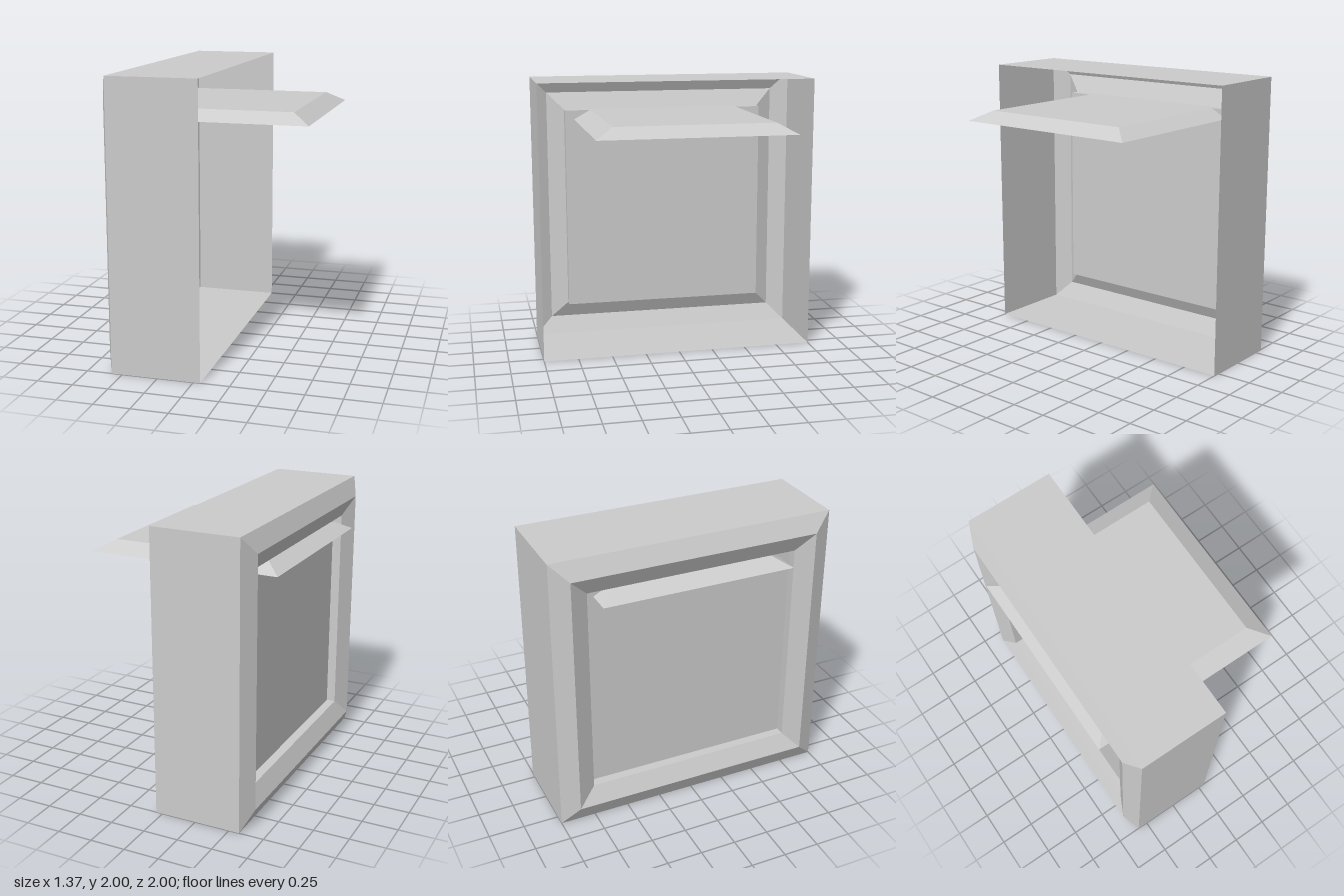
import * as THREE from 'three';

const material = new THREE.MeshStandardMaterial({
  color: 0xcccccc, flatShading: true, side: THREE.DoubleSide,
});

function addMesh(group, name, geometry, x, y) {
  const mesh = new THREE.Mesh(geometry, material);
  mesh.name = name;
  mesh.position.set(x, y, 0);
  group.add(mesh);
}

// Square ring surface: profile of [half width, position along the axis]
function squareLathe(profile) {
  const points = profile.map(([r, h]) => new THREE.Vector2(r * Math.SQRT2, h));
  const geometry = new THREE.LatheGeometry(points, 4, Math.PI / 4).toNonIndexed();
  geometry.computeVertexNormals();
  return geometry;
}

export function createModel() {
  const group = new THREE.Group();

  // Open square casing, ridged rim and recessed reveal, running along x
  const casing = squareLathe([
    [1, 0.048], [1, -0.575], [0.875, -0.635], [0.75, -0.575], [0.75, -0.51],
  ]).rotateZ(-Math.PI / 2);
  addMesh(group, 'windowCasing', casing, 0, 1);

  // Pane closing the reveal
  addMesh(group, 'pane', new THREE.PlaneGeometry(1.5, 1.5).rotateY(Math.PI / 2), -0.51, 1);

  // Bevelled shelf passing through the pane
  const shelf = squareLathe([[0, 0], [0.683, 0], [0.56, 0.07], [0, 0.07]]);
  addMesh(group, 'shelf', shelf, 0, 1.682);

  return group;
}
